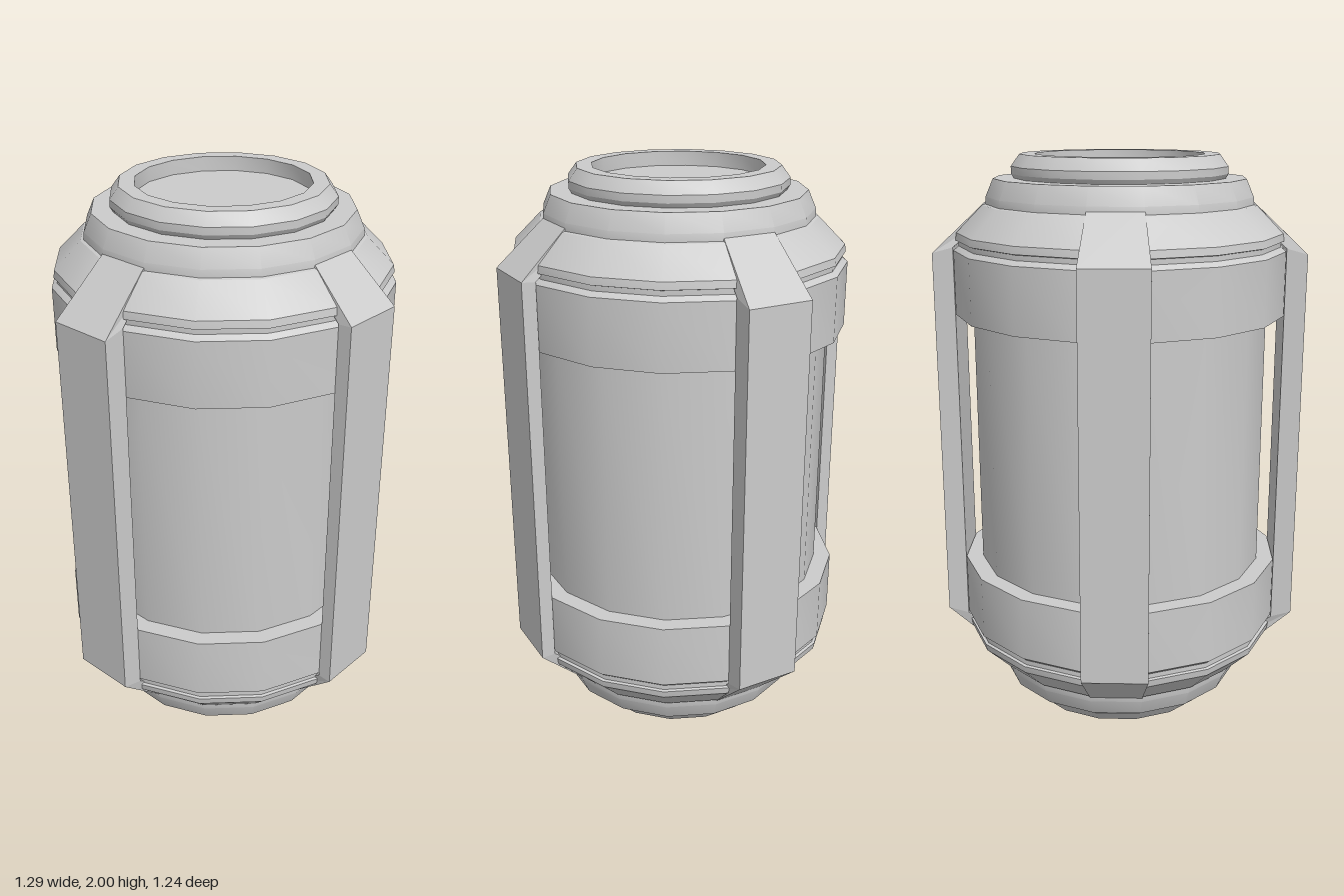
import * as THREE from 'three';
import { toCreasedNormals } from 'three/addons/utils/BufferGeometryUtils.js';

const SIDES = 16;
const HALF_STEP = Math.PI / SIDES;
const material = new THREE.MeshStandardMaterial({ color: 0xcccccc });

// Upper-half profiles, running upwards: [distance to flat side, height]
const COLLAR = [[0.51, 1.457], [0.57, 1.457], [0.57, 1.68], [0.552, 1.695], [0.552, 1.712]];
const SHOULDER = [[0.552, 1.712], [0.562, 1.715], [0.558, 1.74], [0.468, 1.832], [0.458, 1.835],
  [0.456, 1.86], [0.43, 1.92], [0.36, 1.92]];
const CAP = [[0.36, 1.92], [0.369, 1.935], [0.369, 1.96], [0.34, 2], [0.288, 2], [0.288, 1.95], [0, 1.95]];

// Sixteen-sided turned part with flat sides facing the axes
function turned(name, profile) {
  const points = profile.map(([r, y]) => new THREE.Vector2(r / Math.cos(HALF_STEP), y));
  const geometry = new THREE.LatheGeometry(points, SIDES, HALF_STEP);
  const mesh = new THREE.Mesh(toCreasedNormals(geometry, 0.45), material);
  mesh.name = name;
  return mesh;
}

const flipped = (profile) => profile.map(([r, y]) => [r, 2 - y]).reverse();

// Lengthwise rib with sloped, narrowing ends, built along +z
function rib(name, reach, angle) {
  const bend = 1.67 + (0.645 - reach) * 0.93; // both rib sizes share one slope
  const upper = [
    { inner: [0.572, 1.69], outer: [reach, bend], w: 0.113 },
    { inner: [0.435, 1.80], outer: [0.44, 1.86], w: 0.09 },
  ];
  const lower = upper.map(({ inner, outer, w }) => (
    { inner: [inner[0], 2 - inner[1]], outer: [outer[0], 2 - outer[1]], w })).reverse();
  const rings = [...lower, ...upper].map(({ inner, outer, w }) => [
    [w, inner[1], inner[0]], [-w, inner[1], inner[0]],
    [-w, outer[1], outer[0]], [w, outer[1], outer[0]],
  ]);
  const positions = [];
  const quad = (a, b, c, d) => positions.push(...a, ...b, ...c, ...a, ...c, ...d);
  for (let k = 0; k < rings.length - 1; k++) {
    for (let i = 0; i < 4; i++) {
      const j = (i + 1) % 4;
      quad(rings[k][i], rings[k][j], rings[k + 1][j], rings[k + 1][i]);
    }
  }
  quad(...rings[0].slice().reverse());
  quad(...rings[rings.length - 1]);
  const geometry = new THREE.BufferGeometry();
  geometry.setAttribute('position', new THREE.Float32BufferAttribute(positions, 3));
  geometry.computeVertexNormals();
  const mesh = new THREE.Mesh(geometry, material);
  mesh.name = name;
  mesh.rotation.y = angle;
  return mesh;
}

export function createModel() {
  const model = new THREE.Group();
  model.name = 'canister';

  // Central cylinder
  model.add(turned('core', [[0.51, 0.543], [0.51, 1.457]]));

  // Collars, stepped shoulders and recessed end caps, top and bottom
  for (const [part, profile] of [['Collar', COLLAR], ['Shoulder', SHOULDER], ['Cap', CAP]]) {
    model.add(turned('upper' + part, profile));
    model.add(turned('lower' + part, flipped(profile)));
  }

  // Four ribs, the side pair standing out further
  ['frontRib', 'leftRib', 'backRib', 'rightRib'].forEach((name, i) => {
    model.add(rib(name, i % 2 ? 0.645 : 0.62, i * Math.PI / 2));
  });

  return model;
}
